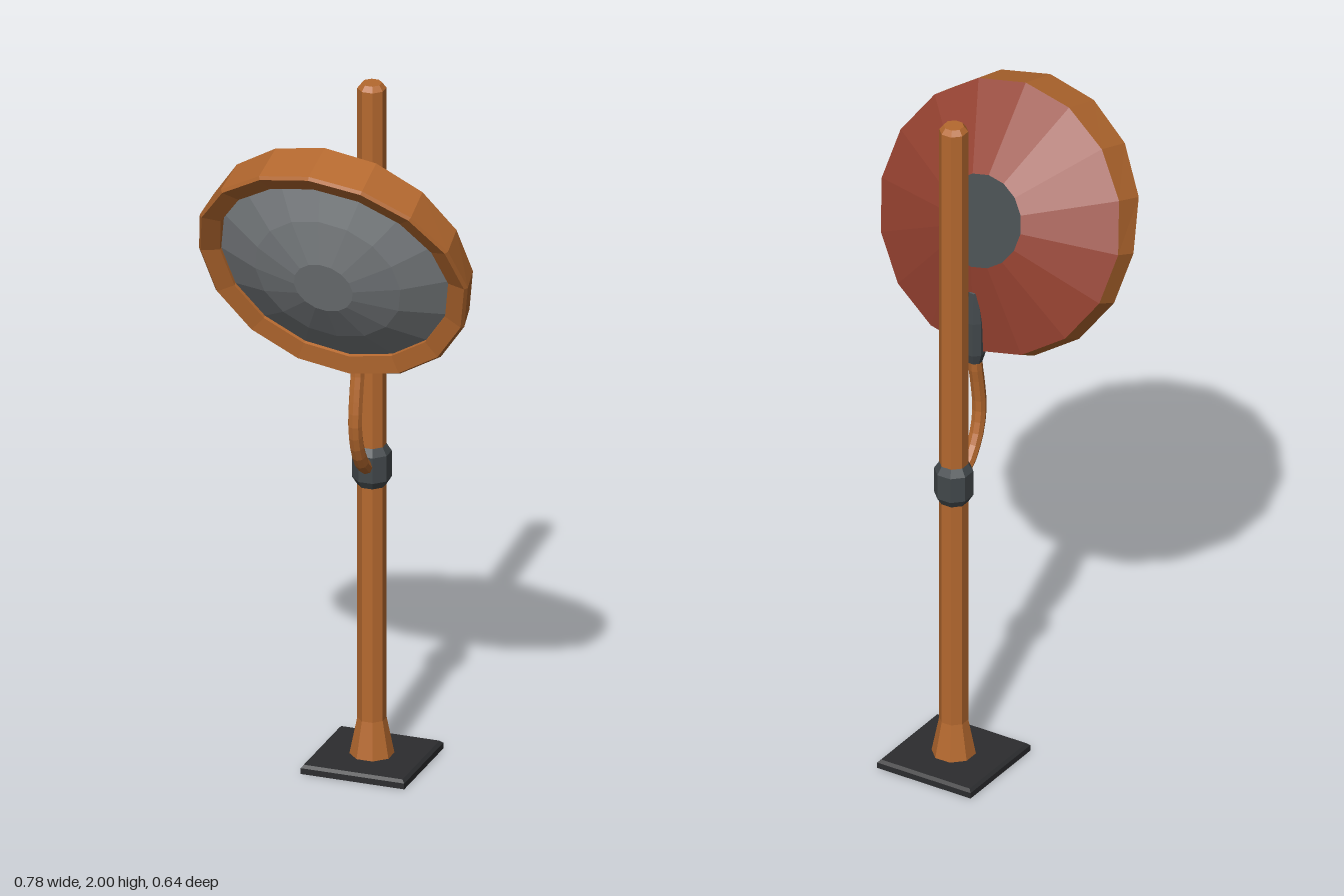
import * as THREE from 'three';

const mat = (color) => new THREE.MeshStandardMaterial({ color, flatShading: true });
const MAT = {
  orange: mat(0xb5692f),
  red: mat(0x93402f),
  metal: mat(0x42484b),
  plate: mat(0x2c2d2f),
  glass: mat(0x7c8083),
};
const POLE_Z = -0.172;

// Faceted solid of revolution; with 8 sides the flats face the axes
function lathe(name, profile, sides, material) {
  const points = profile.map(([r, y]) => new THREE.Vector2(r, y));
  const geo = new THREE.LatheGeometry(points, sides, sides === 8 ? Math.PI / 8 : 0);
  const mesh = new THREE.Mesh(geo, material);
  mesh.name = name;
  return mesh;
}

// Dish part: revolved around z instead of y
function dishPart(name, profile, material) {
  const mesh = lathe(name, profile, 16, material);
  mesh.geometry.rotateX(Math.PI / 2);
  return mesh;
}

function createDish() {
  const dish = new THREE.Group();
  dish.name = 'mirrorHead';

  // Rim, whose front edge grows into a visor over the upper half
  const rim = dishPart('rim',
    [[0.38, 0], [0.389, 0.067], [0.381, 0.0755], [0.33, 0.062], [0.33, 0.04]], MAT.orange);
  const pos = rim.geometry.attributes.position;
  for (let i = 0; i < pos.count; i++) {
    if (pos.getZ(i) > 0.05) pos.setZ(i, pos.getZ(i) + 0.061 * Math.max(0, pos.getY(i)) / 0.389);
  }
  rim.geometry.computeVertexNormals();

  dish.add(
    rim,
    dishPart('convexMirror', [[0.335, 0.05], [0.21, 0.113], [0.085, 0.15], [0, 0.15]], MAT.glass),
    dishPart('backShell', [[0.13, -0.107], [0.38, 0]], MAT.red),
    dishPart('backCap', [[0, -0.107], [0.13, -0.107]], MAT.metal),
  );
  dish.position.set(0, 1.596, 0.06);
  dish.rotation.x = THREE.MathUtils.degToRad(20);
  return dish;
}

// Flat base plate with a chamfered top edge
function createPlate() {
  const w = 0.142;
  const shape = new THREE.Shape([[-w, -w], [w, -w], [w, w], [-w, w]].map(([x, y]) => new THREE.Vector2(x, y)));
  const geo = new THREE.ExtrudeGeometry(shape, {
    depth: 0.017, bevelEnabled: true, bevelSegments: 1, bevelSize: 0.008, bevelThickness: 0.008,
  });
  geo.rotateX(-Math.PI / 2);
  // Lower bevel becomes a straight side
  const pos = geo.attributes.position;
  for (let i = 0; i < pos.count; i++) {
    if (pos.getY(i) < 0.001) {
      pos.setX(i, Math.sign(pos.getX(i)) * 0.15);
      pos.setZ(i, Math.sign(pos.getZ(i)) * 0.15);
      pos.setY(i, Math.max(0, pos.getY(i)));
    }
  }
  geo.computeVertexNormals();
  const plate = new THREE.Mesh(geo, MAT.plate);
  plate.name = 'basePlate';
  plate.position.z = POLE_Z;
  return plate;
}

export function createModel() {
  const model = new THREE.Group();
  model.name = 'roadMirror';

  // Pole with flared foot and chamfered top
  const pole = lathe('pole',
    [[0.062, 0.02], [0.04, 0.13], [0.04, 1.985], [0.028, 2], [0, 2]], 8, MAT.orange);
  pole.position.z = POLE_Z;

  // Clamp holding the arm
  const clamp = lathe('clamp',
    [[0.038, 0.815], [0.054, 0.84], [0.054, 0.915], [0.038, 0.94]], 8, MAT.metal);
  clamp.position.z = POLE_Z;

  // Bent arm from the clamp to the back of the head
  const path = new THREE.CatmullRomCurve3([
    [0.875, -0.15], [0.9, -0.105], [0.96, -0.063], [1.04, -0.043], [1.13, -0.052], [1.19, -0.063], [1.25, -0.066],
  ].map(([y, z]) => new THREE.Vector3(0, y, z)));
  const arm = new THREE.Mesh(new THREE.TubeGeometry(path, 12, 0.02, 8), MAT.orange);
  arm.name = 'arm';

  // Socket running into the back shell
  const socket = lathe('socket',
    [[0, 0], [0.021, 0], [0.03, 0.03], [0.03, 0.13], [0.018, 0.22], [0, 0.23]], 8, MAT.metal);
  socket.position.set(0, 1.205, -0.067);

  model.add(createPlate(), pole, clamp, arm, socket, createDish());
  return model;
}
